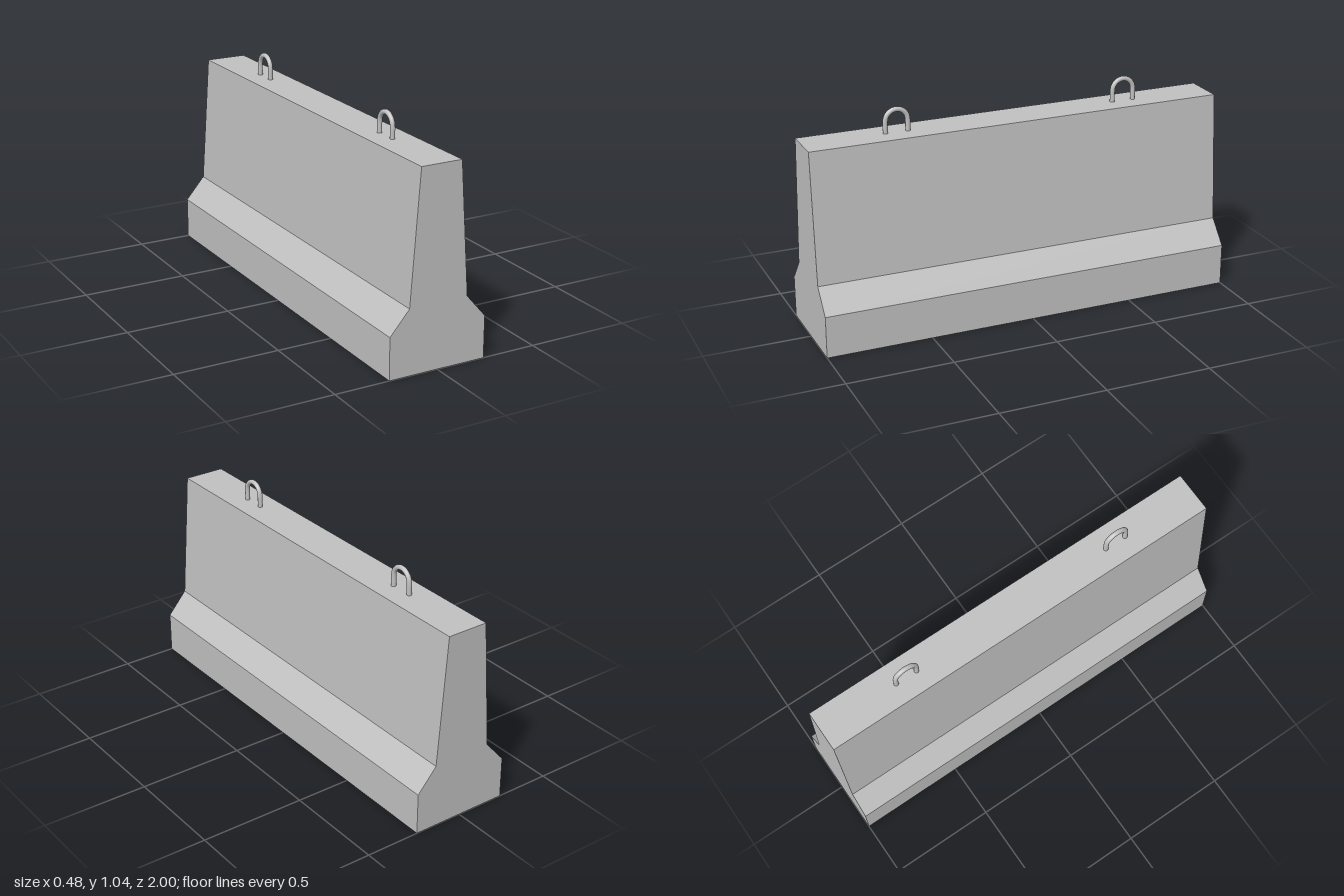
import * as THREE from 'three';

const concrete = new THREE.MeshStandardMaterial({ color: 0xc0c0c0 });
concrete.name = 'concrete grey';

// Inverted U of round bar, standing in the yz plane
function liftingLoop(name, z) {
  const r = 0.053, bar = 0.0115, foot = 0.9, spring = 0.9755;
  const points = [new THREE.Vector3(0, foot, -r), new THREE.Vector3(0, 0.94, -r)];
  for (let i = 0; i <= 8; i++) {
    const a = Math.PI * (1 - i / 8);
    points.push(new THREE.Vector3(0, spring + r * Math.sin(a), r * Math.cos(a)));
  }
  points.push(new THREE.Vector3(0, 0.94, r), new THREE.Vector3(0, foot, r));
  const path = new THREE.CatmullRomCurve3(points);
  const loop = new THREE.Mesh(new THREE.TubeGeometry(path, 40, bar, 14), concrete);
  loop.name = name;
  loop.position.set(-0.001, 0, z);
  return loop;
}

export function createModel() {
  const model = new THREE.Group();
  model.name = 'roadBarrier';

  // Stepped cross-section, mirrored and extruded along z
  const half = [[0.238, 0], [0.238, 0.198], [0.144, 0.307], [0.099, 0.922]];
  const mirrored = half.map(([x, y]) => [-x, y]).reverse();
  const profile = new THREE.Shape([...half, ...mirrored].map(([x, y]) => new THREE.Vector2(x, y)));
  const bodyGeometry = new THREE.ExtrudeGeometry(profile, { depth: 2, bevelEnabled: false });
  bodyGeometry.translate(0, 0, -1);
  const body = new THREE.Mesh(bodyGeometry, concrete);
  body.name = 'barrierBody';
  model.add(body);

  // Lifting loops set into the top
  model.add(liftingLoop('frontLiftingLoop', 0.562), liftingLoop('backLiftingLoop', -0.562));
  return model;
}
